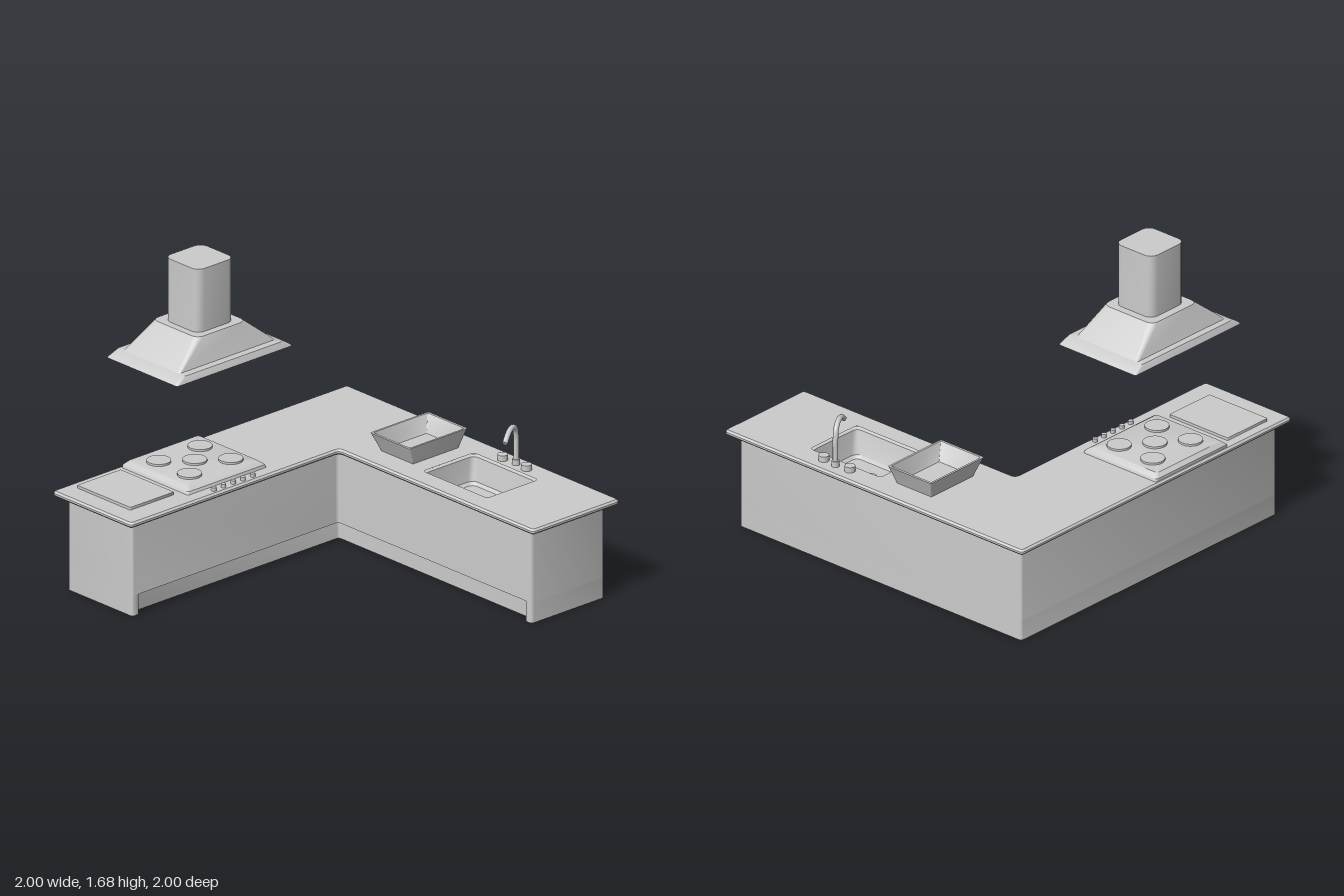
import * as THREE from 'three';
import { toCreasedNormals } from 'three/addons/utils/BufferGeometryUtils.js';

const material = new THREE.MeshStandardMaterial({ color: 0xcccccc });

function add(parent, name, geometry, x = 0, y = 0, z = 0) {
  const mesh = new THREE.Mesh(geometry, material);
  mesh.name = name;
  mesh.position.set(x, y, z);
  parent.add(mesh);
  return mesh;
}

// Traces [x, z] corners, rounding each one by radius r
function trace(path, corners, r) {
  const pts = corners.map(([x, z]) => new THREE.Vector2(x, -z));
  const toward = (a, b) => a.clone().add(b.clone().sub(a).setLength(r));
  pts.forEach((p, i) => {
    const a = toward(p, pts.at(i - 1));
    const b = toward(p, pts[(i + 1) % pts.length]);
    if (i === 0) path.moveTo(a.x, a.y);
    else path.lineTo(a.x, a.y);
    path.quadraticCurveTo(p.x, p.y, b.x, b.y);
  });
  path.closePath();
  return path;
}

// Upright slab from y0 to y1, with an optional hole and edge bevel
function slab(corners, r, y0, y1, hole, bevel = 0) {
  const shape = trace(new THREE.Shape(), corners, r);
  if (hole) shape.holes.push(trace(new THREE.Path(), hole, 0.03));
  const g = new THREE.ExtrudeGeometry(shape, {
    depth: y1 - y0 - 2 * bevel, curveSegments: 5, bevelEnabled: bevel > 0,
    bevelThickness: bevel, bevelSize: bevel, bevelOffset: -bevel, bevelSegments: 1
  });
  g.rotateX(-Math.PI / 2).translate(0, y0 + bevel, 0);
  return toCreasedNormals(g, 0.6);
}

// Skins a stack of rounded rectangles [y, x0, x1, z0, z1, radius]
function loft(rings, capStart = true) {
  const pos = [], index = [], seg = 4, n = 4 * (seg + 1);
  for (const [y, x0, x1, z0, z1, r] of rings) {
    const cx = (x0 + x1) / 2, cz = (z0 + z1) / 2;
    for (let q = 0; q < 4; q++) {
      const sx = q === 0 || q === 3 ? 1 : -1, sz = q < 2 ? -1 : 1;
      for (let k = 0; k <= seg; k++) {
        const a = (q + k / seg) * Math.PI / 2;
        pos.push(cx + sx * ((x1 - x0) / 2 - r) + r * Math.cos(a), y,
          cz + sz * ((z1 - z0) / 2 - r) - r * Math.sin(a));
      }
    }
  }
  const last = (rings.length - 1) * n;
  for (const [y, x0, x1, z0, z1] of [rings[0], rings.at(-1)]) {
    pos.push((x0 + x1) / 2, y, (z0 + z1) / 2);
  }
  for (let j = 0; j < n; j++) {
    const k = (j + 1) % n;
    for (let o = 0; o < last; o += n) {
      index.push(o + j, o + k, o + n + k, o + j, o + n + k, o + n + j);
    }
    if (capStart) index.push(last + n, k, j);
    index.push(last + n + 1, last + j, last + k);
  }
  const g = new THREE.BufferGeometry();
  g.setAttribute('position', new THREE.Float32BufferAttribute(pos, 3));
  g.setIndex(index);
  return toCreasedNormals(g, 0.6);
}

const disc = (r, h) => new THREE.CylinderGeometry(r, r, h, 24).translate(0, h / 2, 0);

export function createModel() {
  const model = new THREE.Group();
  model.name = 'kitchen';
  const top = 0.535;
  const sinkHole = [[0.515, 0.06], [0.88, 0.06], [0.88, 0.55], [0.515, 0.55]];

  // L-shaped cabinets with a toe recess along the inner sides
  add(model, 'cabinet', slab([[-0.94, -0.95], [0.95, -0.95], [0.95, 0.94],
    [0.455, 0.94], [0.455, -0.475], [-0.94, -0.475]], 0.018, 0.11, 0.507, sinkHole));
  add(model, 'cabinetPlinth', slab([[-0.94, -0.95], [0.95, -0.95], [0.95, 0.94],
    [0.455, 0.94], [0.455, 0.89], [0.5, 0.89], [0.5, -0.52], [-0.89, -0.52],
    [-0.89, -0.475], [-0.94, -0.475]], 0.018, 0, 0.11));

  // Worktop with the sink cut out
  add(model, 'worktop', slab([[-1, -1], [1, -1], [1, 1], [0.41, 1], [0.41, -0.42],
    [-1, -0.42]], 0.025, 0.505, top, sinkHole, 0.01));

  // Sink basin and drain
  const sink = new THREE.Group();
  sink.name = 'sink';
  model.add(sink);
  add(sink, 'basin', loft([
    [0.528, 0.513, 0.882, 0.058, 0.552, 0.03],
    [0.522, 0.53, 0.865, 0.075, 0.535, 0.03],
    [0.4, 0.555, 0.845, 0.09, 0.515, 0.035],
    [0.385, 0.57, 0.83, 0.105, 0.5, 0.03]
  ], false));
  add(sink, 'drain', disc(0.04, 0.004), 0.685, 0.385, 0.31);

  // Tap with a curved spout and two handles
  const tap = new THREE.Group();
  tap.name = 'tap';
  model.add(tap);
  const spout = new THREE.CatmullRomCurve3([
    [0.925, top, 0.32], [0.925, 0.62, 0.32], [0.924, 0.685, 0.321], [0.912, 0.73, 0.328],
    [0.885, 0.754, 0.342], [0.85, 0.758, 0.36], [0.81, 0.744, 0.382], [0.772, 0.715, 0.403]
  ].map(p => new THREE.Vector3(...p)));
  add(tap, 'spout', new THREE.TubeGeometry(spout, 40, 0.014, 12));
  const tip = add(tap, 'spoutTip', new THREE.CircleGeometry(0.014, 12), ...spout.getPoint(1));
  tip.lookAt(spout.getPoint(1).add(spout.getTangent(1)));
  add(tap, 'tapBase', disc(0.02, 0.03), 0.925, top, 0.32);
  for (const z of [0.23, 0.405]) add(tap, 'handle', disc(0.027, 0.03), 0.917, top, z);

  // Open tray with sloping walls
  add(model, 'tray', loft([
    [top, 0.55, 0.86, -0.265, -0.03, 0.005],
    [0.635, 0.505, 0.9, -0.297, -0.008, 0.008],
    [0.635, 0.518, 0.887, -0.286, -0.019, 0.006],
    [0.545, 0.56, 0.85, -0.255, -0.045, 0.004]
  ]));

  // Chopping board
  add(model, 'choppingBoard', loft([
    [top, -0.885, -0.59, -0.94, -0.55, 0.005],
    [0.55, -0.885, -0.59, -0.94, -0.55, 0.005]
  ]));

  // Hob with five burners and a row of knobs
  const hob = new THREE.Group();
  hob.name = 'hob';
  model.add(hob);
  add(hob, 'hobPlate', loft([
    [top, -0.545, -0.01, -0.985, -0.495, 0.012],
    [0.55, -0.54, -0.015, -0.985, -0.5, 0.012],
    [0.57, -0.515, -0.04, -0.965, -0.53, 0.012]
  ]));
  for (const [dx, dz] of [[0, 0], [-1, -1], [-1, 1], [1, -1], [1, 1]]) {
    add(hob, 'burner', disc(0.062, 0.012), -0.275 + dx * 0.14, 0.569, -0.737 + dz * 0.113);
  }
  for (let i = -2; i <= 2; i++) {
    add(hob, 'knob', disc(0.013, 0.018), -0.275 + i * 0.066, top, -0.455);
  }

  // Extractor hood: flange, sloping canopy and chimney
  const hood = new THREE.Group();
  hood.name = 'extractorHood';
  model.add(hood);
  add(hood, 'flange', loft([
    [1.17, -0.665, 0.12, -0.965, -0.445, 0.015],
    [1.178, -0.658, 0.113, -0.963, -0.447, 0.02],
    [1.205, -0.615, 0.07, -0.952, -0.458, 0.025]
  ]));
  add(hood, 'canopy', loft([
    [1.204, -0.6, 0.053, -0.915, -0.5, 0.015],
    [1.34, -0.44, -0.108, -0.872, -0.54, 0.04]
  ]));
  add(hood, 'chimney', loft([
    [1.339, -0.4, -0.15, -0.827, -0.58, 0.045],
    [1.68, -0.4, -0.15, -0.827, -0.58, 0.045]
  ]));

  return model;
}
